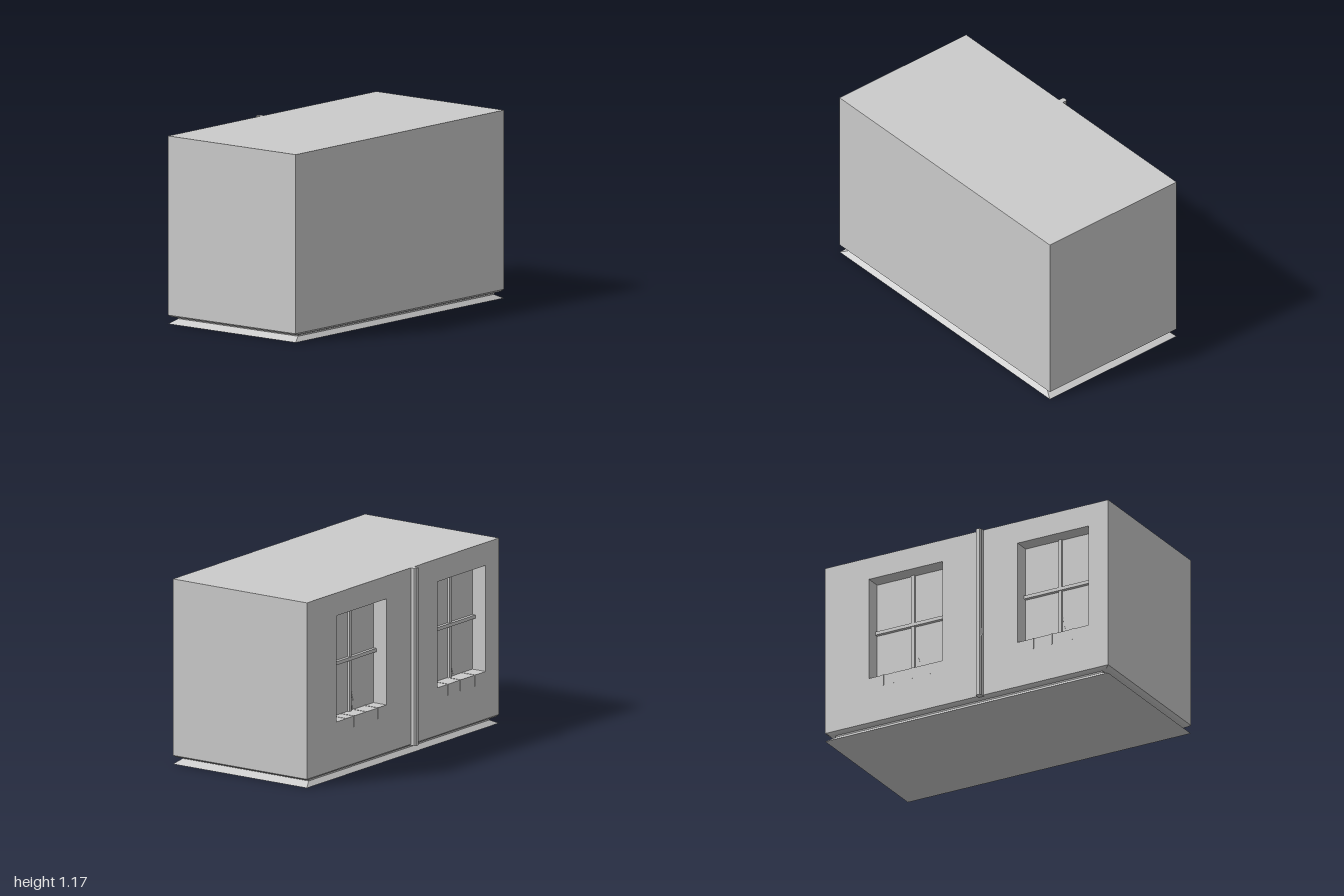
import * as THREE from 'three';

const material = new THREE.MeshStandardMaterial({ color: 0xcccccc, flatShading: true });

const WALL_X = -0.49, PANE_X = -0.39, RIGHT_X = 0.525;
const WALL_BOTTOM = 0.055, TOP = 1.17;
const SILL = 0.355, HEAD = 1.025;

const windows = [
  { name: 'rearWindow', z0: -0.69, z1: -0.17, drips: [-0.59, -0.51, -0.38, -0.26], crack: [[0.47, -0.4], [0.42, -0.385], [0.36, -0.39]] },
  { name: 'frontWindow', z0: 0.36, z1: 0.86, drips: [0.47, 0.6, 0.75], crack: [[0.57, 0.61], [0.46, 0.625], [0.36, 0.66]] },
];

function add(parent, name, geometry, x = 0, y = 0, z = 0) {
  const mesh = new THREE.Mesh(geometry, material);
  mesh.name = name;
  mesh.position.set(x, y, z);
  parent.add(mesh);
  return mesh;
}

// Box given by its lower and upper corners
function addBox(parent, name, a, b) {
  return add(parent, name, new THREE.BoxGeometry(b[0] - a[0], b[1] - a[1], b[2] - a[2]),
    (a[0] + b[0]) / 2, (a[1] + b[1]) / 2, (a[2] + b[2]) / 2);
}

// Closed skin through stacked rings of [x, y, z] points
function loft(rings) {
  const pos = [], n = rings[0].length, last = rings[rings.length - 1];
  const tri = (...points) => points.forEach((p) => pos.push(...p));
  for (let i = 0; i + 1 < rings.length; i++) {
    for (let j = 0; j < n; j++) {
      const k = (j + 1) % n, lo = rings[i], hi = rings[i + 1];
      tri(lo[j], lo[k], hi[k]);
      tri(lo[j], hi[k], hi[j]);
    }
  }
  for (let k = 1; k + 1 < n; k++) {
    tri(rings[0][0], rings[0][k + 1], rings[0][k]);
    tri(last[0], last[k], last[k + 1]);
  }
  const geometry = new THREE.BufferGeometry();
  geometry.setAttribute('position', new THREE.Float32BufferAttribute(pos, 3));
  geometry.computeVertexNormals();
  return geometry;
}

// Flared footing, narrow waist and bevelled lower wall edge: [y, inset x, inset z]
function footing() {
  return loft([[0, 0, 0], [0.028, 0.03, 0.06], [0.037, 0.028, 0.055], [0.043, 0.012, 0.018], [WALL_BOTTOM, 0, 0]]
    .map(([y, ix, iz]) => {
      const l = WALL_X + ix, r = RIGHT_X - ix, z = 1 - iz;
      return [[r, y, z], [r, y, -z], [l, y, -z], [l, y, z]];
    }));
}

// Window wall with two openings
function windowWall() {
  const shape = new THREE.Shape();
  shape.moveTo(-1, WALL_BOTTOM).lineTo(1, WALL_BOTTOM).lineTo(1, TOP).lineTo(-1, TOP).closePath();
  for (const { z0, z1 } of windows) {
    const hole = new THREE.Path();
    hole.moveTo(z0, SILL).lineTo(z0, HEAD).lineTo(z1, HEAD).lineTo(z1, SILL).closePath();
    shape.holes.push(hole);
  }
  return new THREE.ExtrudeGeometry(shape, { depth: PANE_X - WALL_X, bevelEnabled: false }).rotateY(-Math.PI / 2);
}

// Glazing bars, sill streaks and cracked pane
function buildWindow({ name, z0, z1, drips, crack }) {
  const group = new THREE.Group();
  group.name = name;
  const mid = (z0 + z1) / 2, midY = (SILL + HEAD) / 2, bar = 0.011;
  addBox(group, 'uprightBar', [PANE_X - 0.015, SILL, mid - bar], [PANE_X, HEAD, mid + bar]);
  addBox(group, 'crossBar', [PANE_X - 0.022, midY - bar, z0], [PANE_X, midY + bar, z1]);
  for (const z of drips) {
    addBox(group, 'sillStreak', [WALL_X, SILL, z - 0.004], [PANE_X, SILL + 0.002, z + 0.004]);
    addBox(group, 'wallStreak', [WALL_X - 0.002, SILL - 0.07, z - 0.005], [WALL_X, SILL + 0.002, z + 0.005]);
  }
  for (let i = 0; i + 1 < crack.length; i++) {
    const [ya, za] = crack[i], [yb, zb] = crack[i + 1];
    const piece = add(group, 'crack', new THREE.BoxGeometry(0.004, Math.hypot(yb - ya, zb - za), 0.005),
      PANE_X, (ya + yb) / 2, (za + zb) / 2);
    piece.rotation.x = Math.atan2(zb - za, yb - ya);
  }
  return group;
}

// Bevelled drainpipe with a dented front corner
function drainpipe() {
  const section = [[-0.485, 0.118], [-0.485, 0.082], [-0.515, 0.08], [-0.525, 0.087], [-0.525, 0.111], [-0.515, 0.118]];
  const levels = [[0.048, 0], [0.445, 0], [0.468, 0.02], [0.5, 0], [TOP, 0]];
  return loft(levels.map(([y, dent]) =>
    section.map(([x, z], i) => [i === 5 ? x + dent : x, y, z])));
}

export function createModel() {
  const model = new THREE.Group();
  model.name = 'building';
  add(model, 'footing', footing());
  addBox(model, 'mainBlock', [PANE_X, WALL_BOTTOM, -1], [RIGHT_X, TOP, 1]);
  add(model, 'windowWall', windowWall(), PANE_X);
  windows.forEach((w) => model.add(buildWindow(w)));
  add(model, 'drainpipe', drainpipe());
  return model;
}
